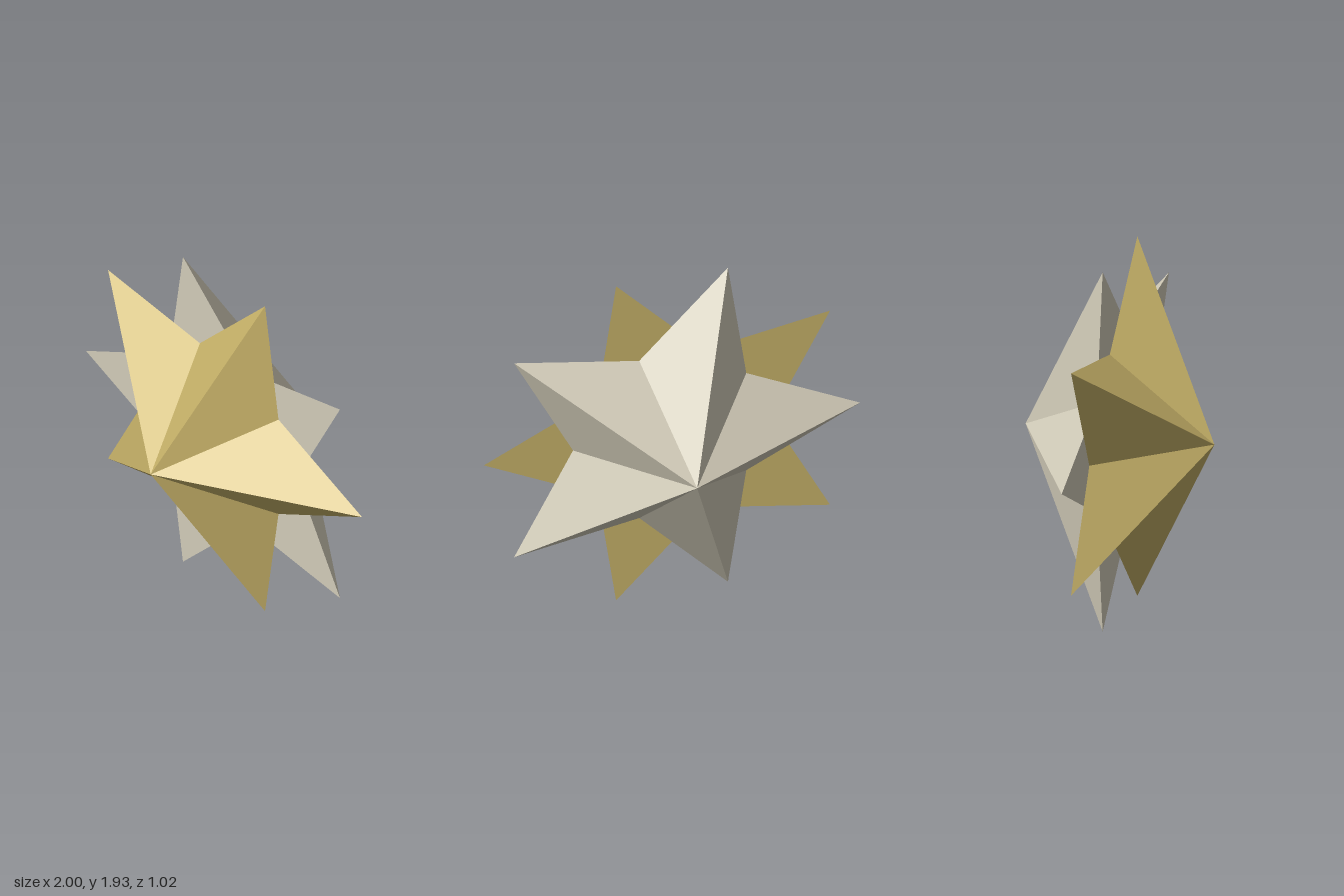
import * as THREE from 'three';

const POINTS = 5, OUTER = 1.017, INNER = 0.509, DEPTH = 0.509;
const OFFSET = 0.017, CENTRE_Y = 0.975;

// Five-pointed star pyramid: ridged facets rising to an apex at +z, flat base at z = 0
function starGeometry() {
  const corner = (i) => {
    const angle = (i * Math.PI) / POINTS;
    const radius = i % 2 ? INNER : OUTER;
    return [radius * Math.cos(angle), radius * Math.sin(angle), 0];
  };
  const positions = [];
  for (let i = 0; i < POINTS * 2; i++) {
    const a = corner(i), b = corner((i + 1) % (POINTS * 2));
    positions.push(0, 0, DEPTH, ...a, ...b); // facet
    positions.push(0, 0, 0, ...b, ...a); // base
  }
  const geometry = new THREE.BufferGeometry();
  geometry.setAttribute('position', new THREE.Float32BufferAttribute(positions, 3));
  geometry.computeVertexNormals();
  return geometry;
}

export function createModel() {
  const group = new THREE.Group();
  group.name = 'doubleStar';
  const geometry = starGeometry();

  const addStar = (name, color, x, turn) => {
    const material = new THREE.MeshStandardMaterial({ color, flatShading: true });
    const star = new THREE.Mesh(geometry, material);
    star.name = name;
    star.position.set(x, CENTRE_Y, 0);
    star.rotation.y = turn;
    group.add(star);
  };

  // Two stars back to back, the rear one turned half round so its points fill the gaps
  addStar('frontStar', 0xc9b46a, -OFFSET, 0);
  addStar('backStar', 0xd2ccb9, OFFSET, Math.PI);
  return group;
}
